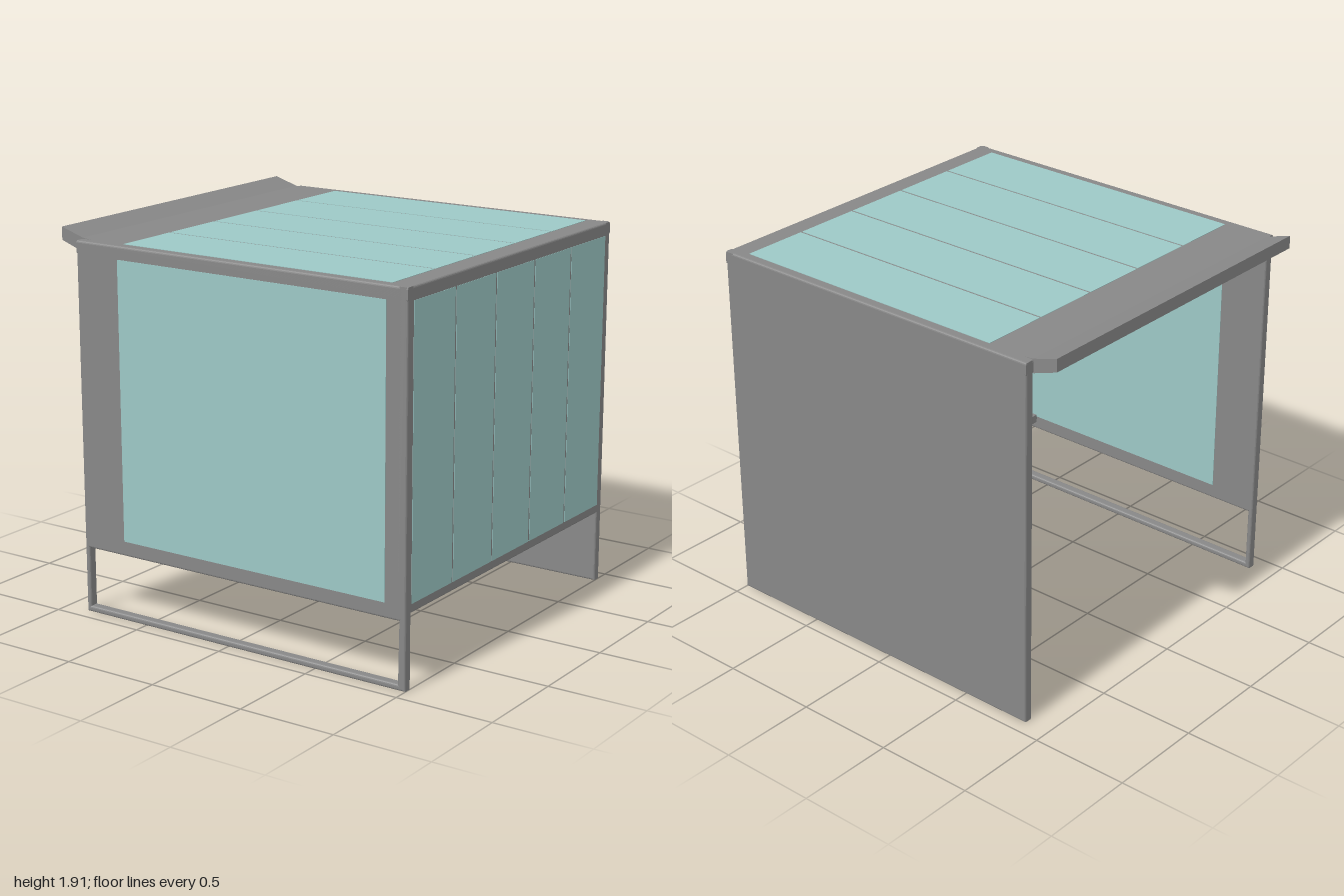
import * as THREE from 'three';

const frameMat = new THREE.MeshStandardMaterial({ color: 0x888888 });
const glassMat = new THREE.MeshStandardMaterial({ color: 0x9dc8c6 });

const X0 = -0.87, X1 = 1, Z = 0.93, TOP = 1.87;
const WALL = 0.05, ROOF = 0.065, BEVEL = 0.01;
const GLASS_X0 = -0.62, GLASS_X1 = 0.89, GLASS_Y0 = 0.41, GLASS_Y1 = 1.805, GLASS_Z = 0.88;

function polygon(points) {
  return new THREE.Shape(points.map(([x, y]) => new THREE.Vector2(x, y)));
}

function rect(a0, b0, a1, b1) {
  return polygon([[a0, b0], [a1, b0], [a1, b1], [a0, b1]]);
}

// Slab with softened edges, extruded from z = 0 to z = depth
function slab(shape, depth) {
  const geo = new THREE.ExtrudeGeometry(shape, {
    depth: depth - 2 * BEVEL, bevelEnabled: true, bevelSize: BEVEL,
    bevelThickness: BEVEL, bevelOffset: -BEVEL, bevelSegments: 3,
  });
  return geo.translate(0, 0, BEVEL);
}

export function createModel() {
  const group = new THREE.Group();
  const add = (name, geo, mat = frameMat) => {
    const mesh = new THREE.Mesh(geo, mat);
    mesh.name = name;
    group.add(mesh);
    return mesh;
  };
  const box = (name, x0, x1, y0, y1, z0, z1, mat) => {
    const mesh = add(name, new THREE.BoxGeometry(x1 - x0, y1 - y0, z1 - z0), mat);
    mesh.position.set((x0 + x1) / 2, (y0 + y1) / 2, (z0 + z1) / 2);
  };

  // Front wall with a low open frame under its glass
  const front = rect(X0, 0, X1, TOP);
  front.holes.push(polygon([[-0.845, 0.03], [-0.845, 0.335], [0.965, 0.335], [0.96, 0.03]]));
  add('frontWall', slab(front, WALL)).position.z = Z - WALL;

  // Solid back wall
  add('backWall', slab(rect(X0, 0, X1, TOP), WALL)).position.z = -Z;

  // Side wall, raised off the ground
  const side = add('sideWall', slab(rect(-Z, 0.365, Z, TOP), WALL));
  side.rotation.y = Math.PI / 2;
  side.position.x = X1 - WALL;

  // Roof
  const roof = add('roof', slab(rect(X0, -Z, X1, Z), ROOF));
  roof.rotation.x = -Math.PI / 2;
  roof.position.y = TOP - ROOF;

  // Upturned canopy lip over the open side
  const lip = polygon([[-0.8, 1.868], [-0.87, 1.875], [-1, 1.915], [-1, 1.85], [-0.87, 1.805], [-0.8, 1.81]].reverse());
  add('canopyLip', new THREE.ExtrudeGeometry(lip, { depth: 2 * GLASS_Z, bevelEnabled: false }))
    .position.z = -GLASS_Z;

  // Bench along the inside of the side wall
  box('bench', 0.57, X1 - WALL, 0.375, 0.42, -GLASS_Z, GLASS_Z, frameMat);

  // Glass panes, just proud of the frame on both faces
  const E = 0.002;
  box('frontGlass', GLASS_X0, GLASS_X1, GLASS_Y0, GLASS_Y1, Z - WALL - E, Z + E, glassMat);
  const count = 5, gap = 0.011;
  const width = (2 * GLASS_Z - gap * (count - 1)) / count;
  for (let i = 0; i < count; i++) {
    const z0 = -GLASS_Z + i * (width + gap), z1 = z0 + width;
    box('sideGlass', X1 - WALL - E, X1 + E, GLASS_Y0, GLASS_Y1, z0, z1, glassMat);
    box('roofGlass', GLASS_X0, GLASS_X1, TOP - ROOF - E, TOP + E, z0, z1, glassMat);
  }
  return group;
}
